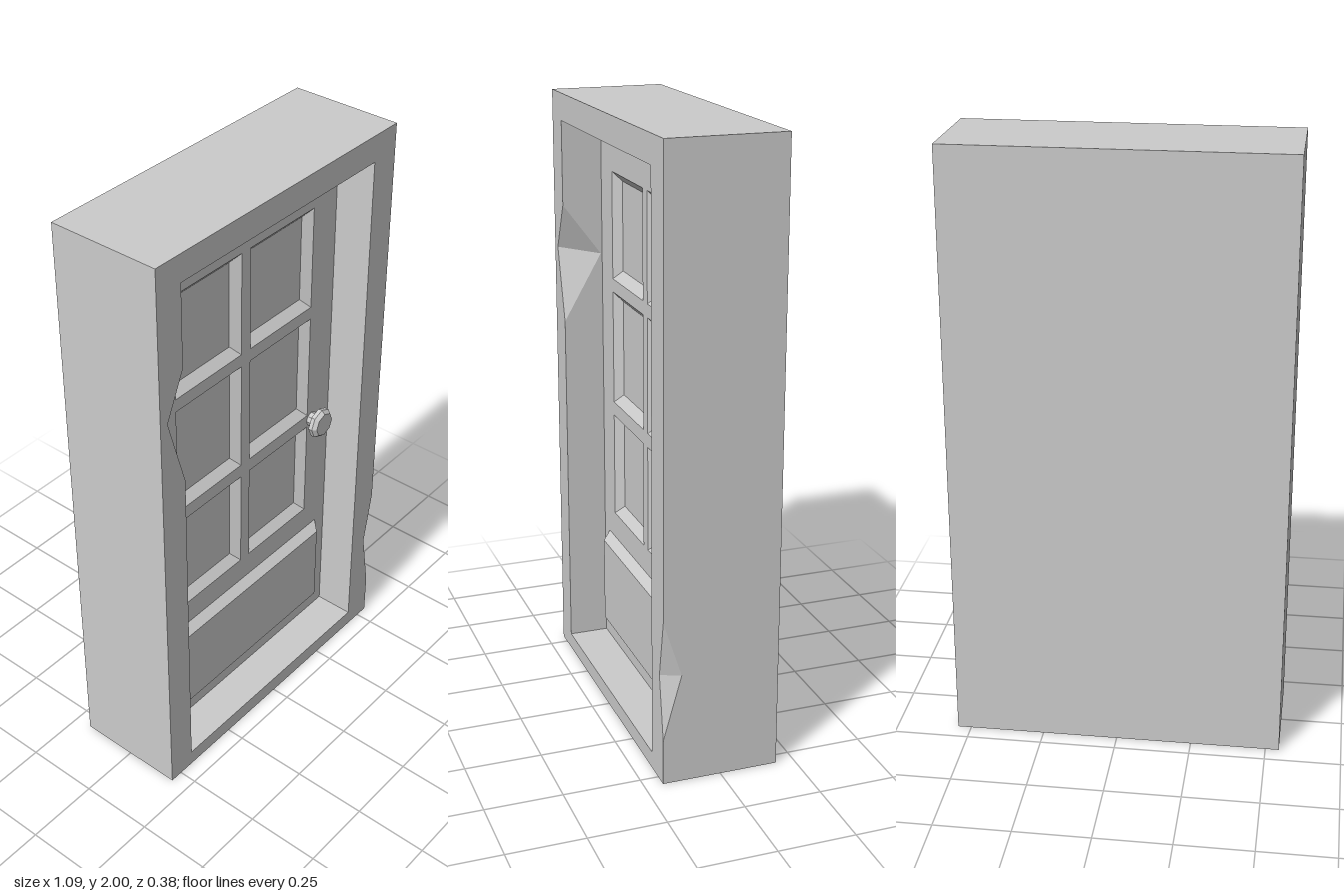
import * as THREE from 'three';

const material = new THREE.MeshStandardMaterial({ color: 0xcccccc, flatShading: true });
const FRONT = 0.19, BACK = -0.19, DOOR = 0.055;

const v = (x, y, z) => new THREE.Vector3(x, y, z);
// Rectangle corners, counter-clockwise from bottom left
const rect = (x0, y0, x1, y1, z) => [v(x0, y0, z), v(x1, y0, z), v(x1, y1, z), v(x0, y1, z)];

// Flat polygon in space, counter-clockwise as seen from outside, with optional holes
function polygon(points, holes = []) {
  const normal = v(0, 0, 0);
  points.forEach((p, i) => normal.add(p.clone().cross(points[(i + 1) % points.length])));
  normal.normalize();
  const u = points[1].clone().sub(points[0]).normalize();
  const w = normal.clone().cross(u);
  const flat = (list) => list.map((p) => new THREE.Vector2(p.dot(u), p.dot(w)));
  const all = [points, ...holes].flat();
  const triangles = THREE.ShapeUtils.triangulateShape(flat(points), holes.map(flat));
  return triangles.flat().map((i) => all[i]);
}

// Four sloping sides joining an outer rectangle to an inner one, plus the inner face
function tray(outer, inner) {
  const sides = outer.flatMap((p, k) => {
    const n = (k + 1) % 4;
    return polygon([p, outer[n], inner[n], inner[k]]);
  });
  return [...sides, ...polygon(inner)];
}

function mesh(name, corners) {
  const geometry = new THREE.BufferGeometry().setFromPoints(corners);
  geometry.computeVertexNormals();
  const m = new THREE.Mesh(geometry, material);
  m.name = name;
  return m;
}

// Chip in a frame edge: apex on the front face, top, bottom, and inner point on the side wall
const chip = (edgeX, apexX, apexY, top, bottom, innerY, innerZ) => ({
  apex: v(apexX, apexY, FRONT),
  top: v(edgeX, top, FRONT),
  bottom: v(edgeX, bottom, FRONT),
  inner: v(edgeX, innerY, innerZ),
});
const chipFaces = (c) => [
  ...polygon([c.apex, c.inner, c.top]),
  ...polygon([c.apex, c.bottom, c.inner]),
];

function createFrame() {
  const frame = new THREE.Group();
  frame.name = 'frame';
  const [bl, br, tr, tl] = rect(-0.545, 0, 0.545, 2, FRONT);
  const [bbl, bbr, btr, btl] = rect(-0.545, 0, 0.545, 2, BACK);
  const hole = rect(-0.445, 0.055, 0.44, 1.91, FRONT);
  const deep = rect(-0.445, 0.055, 0.44, 1.91, DOOR);
  const a = chip(-0.445, -0.515, 1.475, 1.63, 1.23, 1.457, 0.06);
  const b = chip(0.545, 0.51, 0.36, 0.55, 0.15, 0.365, 0.13);

  frame.add(mesh('frameFront', polygon(
    [bl, br, b.bottom, b.apex, b.top, tr, tl],
    [[...hole, a.top, a.apex, a.bottom]],
  )));
  frame.add(mesh('frameOutside', [
    ...polygon([br, bbr, btr, tr, b.top, b.inner, b.bottom]),
    ...polygon([bbl, bl, tl, btl]),
    ...polygon([tl, tr, btr, btl]),
    ...polygon([bbl, bbr, br, bl]),
    ...polygon([bbr, bbl, btl, btr]),
  ]));
  // Walls of the opening
  const walls = [0, 1, 2].flatMap((k) => polygon([hole[k], hole[k + 1], deep[k + 1], deep[k]]));
  walls.push(...polygon([hole[3], a.top, a.inner, a.bottom, hole[0], deep[0], deep[3]]));
  frame.add(mesh('openingWalls', walls));
  frame.add(mesh('upperChip', chipFaces(a)), mesh('lowerChip', chipFaces(b)));
  return frame;
}

function createDoor() {
  const door = new THREE.Group();
  door.name = 'door';
  const holes = [];

  // Six sunken panes with bevelled edges
  for (const [y0, y1] of [[0.555, 0.915], [0.963, 1.35], [1.395, 1.755]]) {
    for (const [x0, x1] of [[-0.33, -0.024], [0.019, 0.325]]) {
      const outer = rect(x0, y0, x1, y1, DOOR);
      holes.push(outer);
      door.add(mesh('sunkenPane',
        tray(outer, rect(x0 + 0.025, y0 + 0.03, x1 - 0.025, y1 - 0.03, DOOR - 0.028))));
    }
  }

  // Raised panel at the bottom
  const base = rect(-0.392, 0.12, 0.39, 0.465, DOOR);
  holes.push(base);
  door.add(mesh('raisedPanel', tray(base, rect(-0.368, 0.143, 0.366, 0.44, DOOR + 0.03))));

  door.add(mesh('doorFace', polygon(rect(-0.445, 0.055, 0.44, 1.91, DOOR), holes)));
  return door;
}

function createKnob() {
  const profile = [[0.025, 0], [0.025, 0.02], [0.053, 0.03], [0.053, 0.044], [0.042, 0.057], [0, 0.057]]
    .map(([r, y]) => new THREE.Vector2(r, y));
  const geometry = new THREE.LatheGeometry(profile, 8);
  geometry.rotateX(Math.PI / 2);
  const knob = new THREE.Mesh(geometry, material);
  knob.name = 'knob';
  knob.position.set(0.347, 0.94, DOOR);
  return knob;
}

export function createModel() {
  const model = new THREE.Group();
  model.name = 'doorInFrame';
  model.add(createFrame(), createDoor(), createKnob());
  return model;
}
